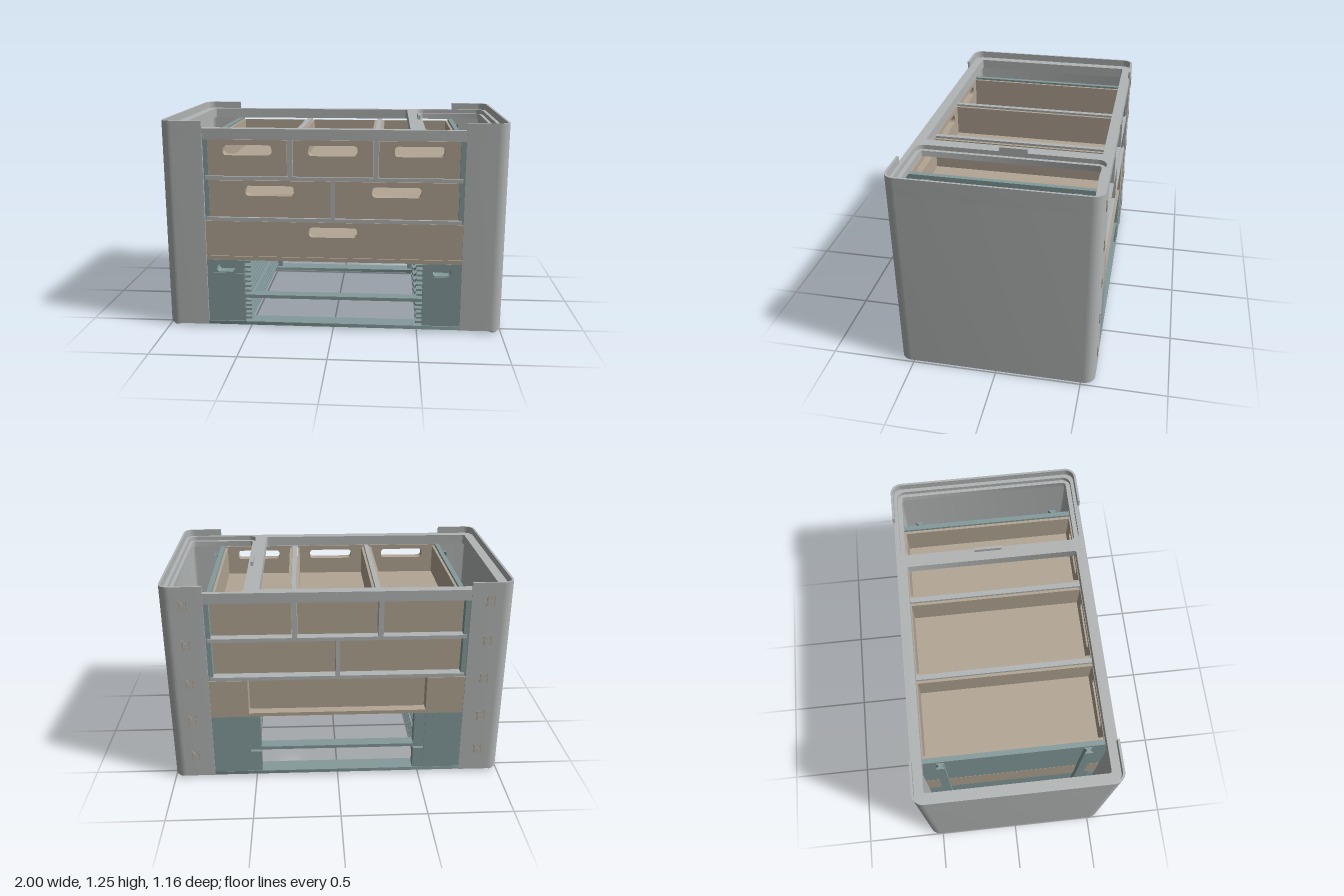
import * as THREE from 'three';
import { toCreasedNormals } from 'three/addons/utils/BufferGeometryUtils.js';

const mat = (name, color) => Object.assign(new THREE.MeshStandardMaterial({ color }), { name });

export function createModel() {
  const grey = mat('grey shell', 0xb2b5b5);
  const beige = mat('beige drawers', 0xb2a594);
  const teal = mat('blue grey frame', 0x849a9b);
  const model = new THREE.Group();
  model.name = 'drawerCabinet';

  const add = (name, geo, material, parent = model) => {
    const mesh = new THREE.Mesh(geo, material);
    mesh.name = name;
    parent.add(mesh);
    return mesh;
  };
  // Box from its limits on each axis
  const box = (name, m, x0, x1, y0, y1, z0, z1, parent) => {
    const g = new THREE.BoxGeometry(x1 - x0, y1 - y0, z1 - z0);
    g.translate((x0 + x1) / 2, (y0 + y1) / 2, (z0 + z1) / 2);
    return add(name, g, m, parent);
  };
  // Rounded rectangle outline
  const rounded = (x0, x1, y0, y1, r, Type = THREE.Shape) => {
    const p = new Type();
    p.moveTo(x0 + r, y0);
    p.lineTo(x1 - r, y0).absarc(x1 - r, y0 + r, r, -Math.PI / 2, 0);
    p.lineTo(x1, y1 - r).absarc(x1 - r, y1 - r, r, 0, Math.PI / 2);
    p.lineTo(x0 + r, y1).absarc(x0 + r, y1 - r, r, Math.PI / 2, Math.PI);
    p.lineTo(x0, y0 + r).absarc(x0 + r, y0 + r, r, Math.PI, Math.PI * 1.5);
    return p;
  };
  const hole = (x0, x1, y0, y1, r) => rounded(x0, x1, y0, y1, r, THREE.Path);
  const extrude = (shape, depth) =>
    toCreasedNormals(new THREE.ExtrudeGeometry(shape, { depth, bevelEnabled: false, curveSegments: 8 }), 0.6);
  // Horizontal plate between two heights, outline given in x and -z
  const plate = (name, m, shape, y0, y1, parent) =>
    add(name, extrude(shape, y1 - y0).rotateX(-Math.PI / 2).translate(0, y0, 0), m, parent);
  // Upright panel between two depths
  const panel = (name, m, shape, z0, z1, parent) =>
    add(name, extrude(shape, z1 - z0).translate(0, 0, z0), m, parent);

  // U-shaped wall outline for a side shell
  const uWall = (t) => {
    const s = new THREE.Shape(), r = 0.065, q = Math.max(r - t, 0.02), x = 1 - t, z = 0.58 - t;
    s.moveTo(0.755, -0.58);
    s.lineTo(1 - r, -0.58).absarc(1 - r, -0.58 + r, r, -Math.PI / 2, 0);
    s.lineTo(1, 0.58 - r).absarc(1 - r, 0.58 - r, r, 0, Math.PI / 2);
    s.lineTo(0.755, 0.58).lineTo(0.755, z);
    s.lineTo(x - q, z).absarc(x - q, z - q, q, Math.PI / 2, 0, true);
    s.lineTo(x, -z + q).absarc(x - q, -z + q, q, 0, -Math.PI / 2, true);
    s.lineTo(0.755, -z);
    return s;
  };

  // Bow-tie connector outline
  const bowTie = (w, h) => new THREE.Shape([[-w, -h], [0, -h * 0.35], [w, -h], [w, h], [0, h * 0.35], [-w, h]]
    .map(([x, y]) => new THREE.Vector2(x, y)));

  for (const side of [1, -1]) {
    const half = new THREE.Group();
    half.name = side > 0 ? 'leftSide' : 'rightSide';
    half.rotation.y = side > 0 ? 0 : Math.PI;
    model.add(half);

    // Side shell with raised lip, pierced base and feet
    plate('shellWall', grey, uWall(0.04), 0.015, 1.145, half);
    plate('shellLip', grey, uWall(0.013), 1.145, 1.25, half);
    const base = rounded(0.755, 0.99, -0.57, 0.57, 0.055);
    base.holes.push(hole(0.775, 0.935, -0.315, 0.315, 0.005));
    plate('shellBase', grey, base, 0.016, 0.04, half);
    for (const z of [-0.535, 0.535]) {
      add('foot', new THREE.CylinderGeometry(0.025, 0.025, 0.02, 20).translate(0.955, 0.01, z), grey, half);
      const tie = plate('dovetailRail', teal, bowTie(0.018, 0.026), 0.04, 1.12, half);
      tie.position.set(0.772, 0, Math.sign(z) * 0.42);
    }
    box('upperSidePanel', teal, 0.727, 0.756, 0.66, 1.145, -0.565, 0.565, half);
  }

  for (const s of [1, -1]) {
    const span = (a, b) => (s > 0 ? [a, b] : [-b, -a]);

    // Lower side block with a slotted small drawer front
    const [x0, x1] = span(0.53, 0.756);
    box('lowerBlock', teal, x0, x1, 0.016, 0.42, -0.575, 0.5);
    const front = rounded(x0, x1, 0.016, 0.42, 0.001);
    front.holes.push(hole(...span(0.588, 0.695), 0.347, 0.392, 0.018));
    panel('smallDrawerFront', teal, front, 0.5, 0.57);
    box('smallDrawerFace', teal, ...span(0.533, 0.724), 0.212, 0.34, 0.57, 0.575);

    // Slotted runners and rear posts
    for (let i = 0; i < 12; i++) {
      const y = i < 5 ? 0.05 + i * 0.027 : 0.222 + (i - 5) * 0.03;
      box('runner', teal, ...span(0.493, 0.531), y, y + 0.012, -0.55, 0.565);
    }
    box('lowerRearPost', teal, ...span(0.465, 0.531), 0.035, 0.172, -0.572, -0.51);
    box('upperRearPost', teal, ...span(0.465, 0.531), 0.205, 0.42, -0.572, -0.51);

    // Side cheeks of the wide drawer level
    box('middleCheek', beige, ...span(0.53, 0.757), 0.42, 0.66, -0.575, 0.55);

    // Connector inlays on the rear of the shell
    for (let i = 0; i < 5; i++) {
      const y = 1.14 - i * 0.245;
      const tie = panel('rearConnector', beige, bowTie(0.024, 0.034), -0.003, 0.003);
      tie.position.set(s * 0.865, y, -0.581);
      const core = panel('rearConnectorCore', grey, bowTie(0.016, 0.024), -0.002, 0.002);
      core.position.set(s * 0.865, y, -0.583);
    }
  }

  // Bottom frame and the tie bars above it
  const floor = rounded(-0.756, 0.756, -0.577, 0.577, 0.001);
  floor.holes.push(hole(-0.53, 0.53, -0.475, 0.475, 0.001));
  plate('bottomFrame', teal, floor, 0.015, 0.036);
  box('frontTieBar', teal, -0.53, 0.53, 0.185, 0.205, 0.5, 0.57);
  box('rearTieBar', teal, -0.53, 0.53, 0.185, 0.205, -0.57, -0.5);

  // Open drawer with a slotted front
  const drawer = (name, x0, x1, y0, y1, frontX0 = x0, frontX1 = x1) => {
    const g = new THREE.Group(), t = 0.016, cx = (x0 + x1) / 2, top = y1 - 0.01;
    g.name = name;
    model.add(g);
    const face = rounded(frontX0, frontX1, y0, y1, 0.006);
    face.holes.push(hole(cx - 0.142, cx + 0.142, y1 - 0.09, y1 - 0.03, 0.022));
    panel('drawerFront', beige, face, 0.512, 0.57, g);
    box('drawerBack', beige, x0, x1, y0, top, -0.525, -0.51, g);
    box('drawerFloor', beige, x0, x1, y0 + 0.002, y0 + t, -0.52, 0.52, g);
    box('drawerSide', beige, x0, x0 + t, y0, top, -0.52, 0.52, g);
    box('drawerSide', beige, x1 - t, x1, y0, top, -0.52, 0.52, g);
  };
  for (const i of [-1, 0, 1]) drawer('topDrawer', i * 0.495 - 0.23, i * 0.495 + 0.23, 0.932, 1.143);
  for (const s of [-1, 1]) drawer('middleDrawer', s * 0.369 - 0.356, s * 0.369 + 0.356, 0.687, 0.905);
  drawer('wideDrawer', -0.525, 0.525, 0.447, 0.66, -0.756, 0.756);
  box('wideDrawerFrontSill', beige, -0.756, 0.756, 0.42, 0.444, 0.5, 0.568);
  box('wideDrawerRearSill', beige, -0.53, 0.53, 0.42, 0.442, -0.572, -0.5);

  // Shelves and uprights between the drawers
  box('upperShelf', grey, -0.745, 0.745, 0.908, 0.93, -0.575, 0.575);
  box('lowerShelf', grey, -0.745, 0.745, 0.662, 0.684, -0.575, 0.575);
  for (const x of [-0.2475, 0.2475]) box('upperDivider', grey, x - 0.015, x + 0.015, 0.93, 1.145, -0.575, 0.575);
  box('middleDivider', grey, -0.012, 0.012, 0.684, 0.908, -0.575, 0.575);

  // Top deck in two layers, forming a stepped tray recess
  const deck = (trayHole) => {
    const s = rounded(-0.99, 0.99, -0.576, 0.576, 0.06);
    s.holes.push(hole(-0.93, 0.44, -0.515, 0.515, 0.012), trayHole);
    return s;
  };
  plate('deckLower', grey, deck(hole(0.535, 0.945, -0.52, 0.52, 0.02)), 1.145, 1.18);
  plate('deckUpper', grey, deck(hole(0.513, 0.965, -0.547, 0.547, 0.05)), 1.18, 1.207);
  box('trayCatch', grey, 0.497, 0.514, 1.19, 1.232, -0.1, 0.065);

  // Small hook marks at the centre of the front and back edges
  for (const z of [-0.577, 0.577]) {
    box('edgeHook', grey, -0.01, -0.003, 1.165, 1.198, z - 0.003, z + 0.003);
    box('edgeHook', grey, -0.01, 0.012, 1.192, 1.198, z - 0.003, z + 0.003);
  }
  return model;
}
